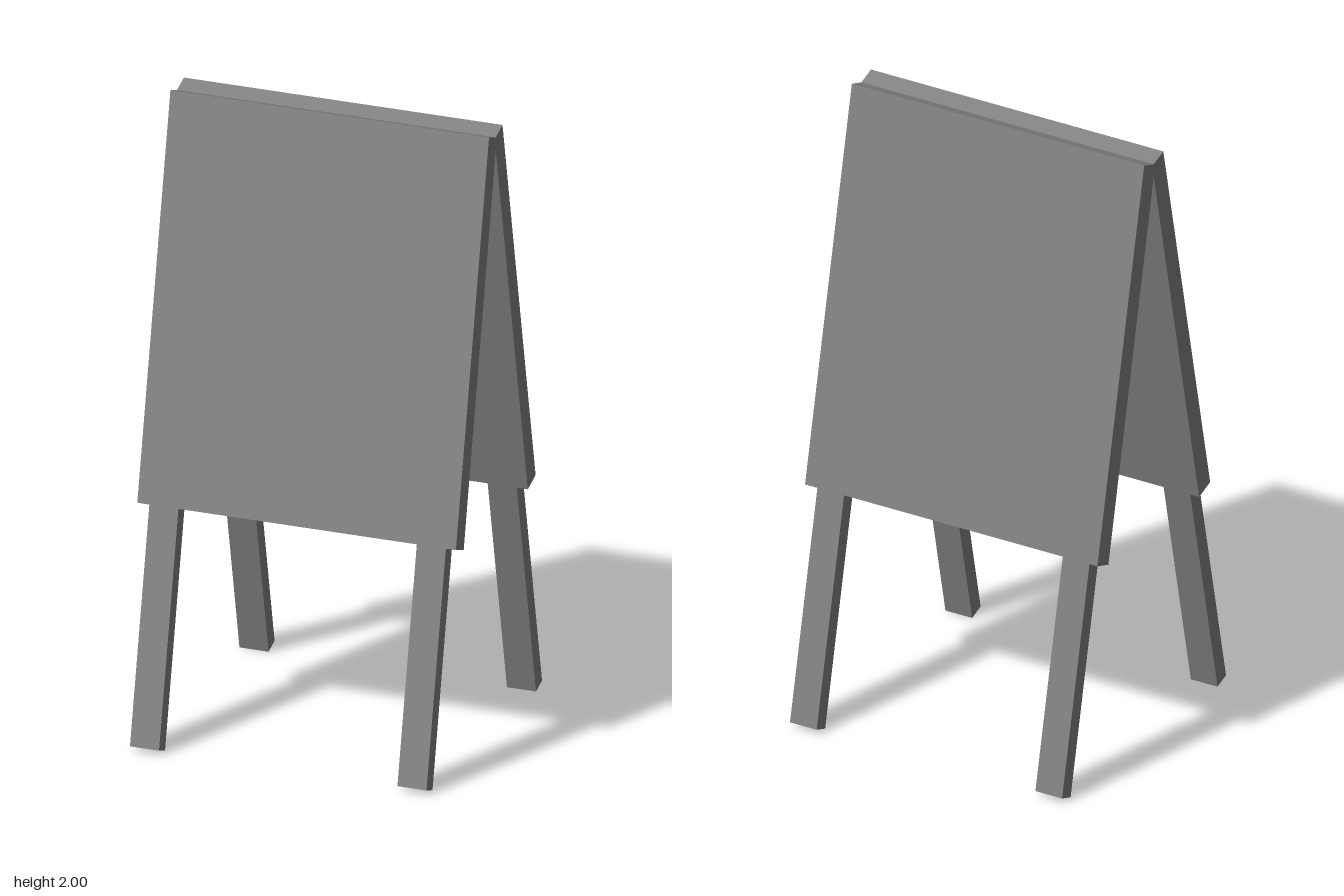
import * as THREE from 'three';

const TILT = 0.2147;      // lean of each half from vertical
const SKEW = 0.126;       // extra slope of the cut ends
const BOARD = { w: 1.04, h: 1.277, t: 0.0675 };
const LEG = { w: 0.095, h: 0.749, t: 0.052, x: 0.4365, inset: 0.009 };

const material = new THREE.MeshStandardMaterial({
  color: 0x808080, flatShading: true, side: THREE.DoubleSide,
});

// Bar hanging down from (x, top) with its outer face at z = -inset and both ends cut at a slant
function slantedBar(name, { w, h, t }, x, top, inset, openEnds) {
  const geometry = new THREE.BoxGeometry(w, h, t);
  if (openEnds) {
    // Keep the four long faces only
    const index = Array.from(geometry.index.array);
    geometry.setIndex([...index.slice(0, 12), ...index.slice(24)]);
    geometry.clearGroups();
  }
  geometry.translate(x, top - h / 2, -inset - t / 2);
  const pos = geometry.attributes.position;
  for (let i = 0; i < pos.count; i++) pos.setY(i, pos.getY(i) + SKEW * pos.getZ(i));
  geometry.computeVertexNormals();
  const mesh = new THREE.Mesh(geometry, material);
  mesh.name = name;
  return mesh;
}

// One leaning half: its origin is the outer top edge of the board
function makeHalf(name, legShift) {
  const half = new THREE.Group();
  half.name = name;
  half.add(slantedBar('board', BOARD, 0, 0, 0, false));
  // Two hollow legs below the board, close to its inner face
  for (const side of [-1, 1]) {
    half.add(slantedBar(side > 0 ? 'leftLeg' : 'rightLeg', LEG,
      side * LEG.x + legShift, -BOARD.h, LEG.inset, true));
  }
  half.rotation.x = -TILT;
  half.position.set(0, 2, 0.0545);
  return half;
}

export function createModel() {
  const model = new THREE.Group();
  model.name = 'foldingSignBoard';

  model.add(makeHalf('frontHalf', 0));

  // Back half is the same part turned around
  const back = new THREE.Group();
  back.name = 'back';
  back.add(makeHalf('backHalf', 0.003));
  back.rotation.y = Math.PI;
  back.position.z = -0.002;
  model.add(back);

  return model;
}
